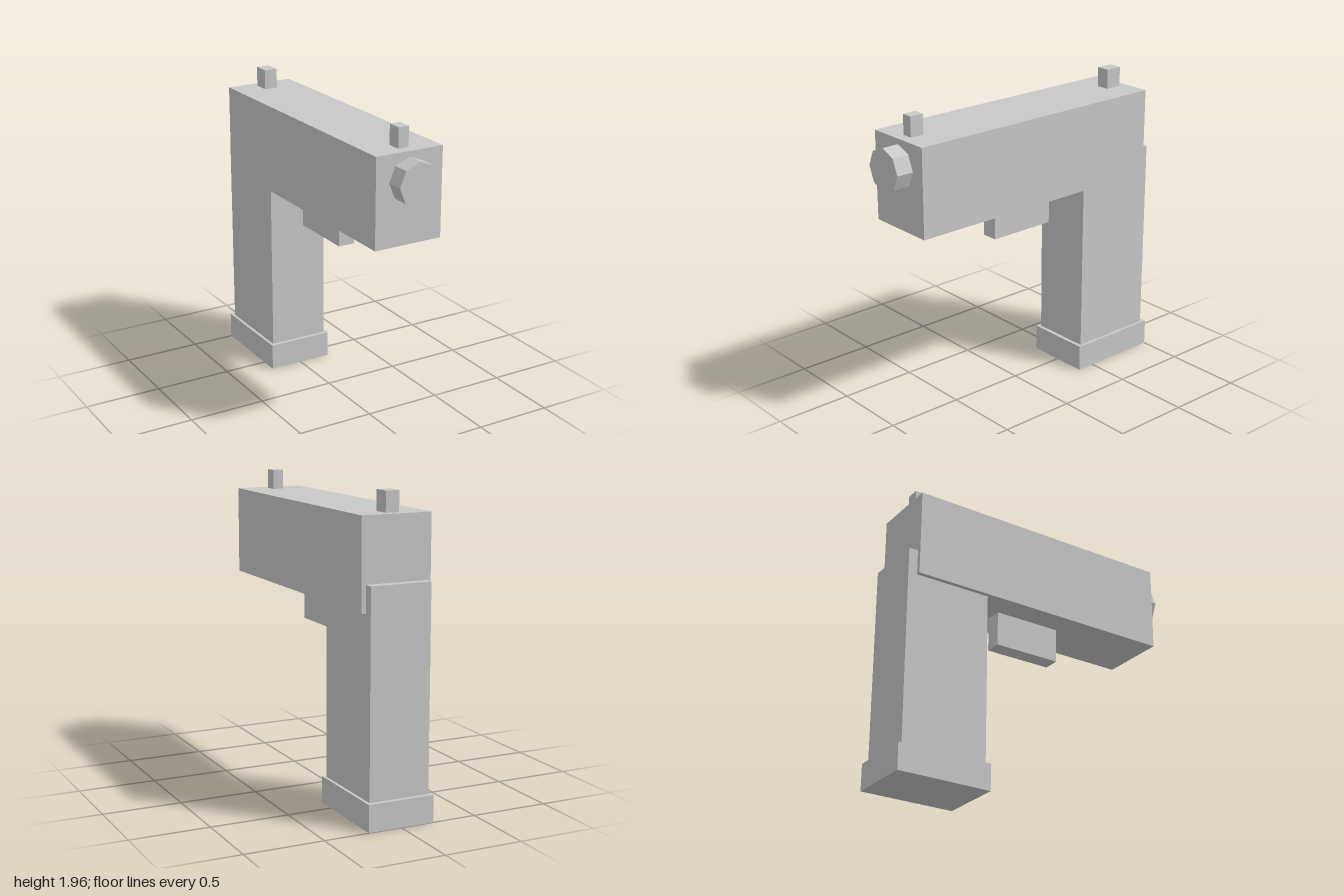
import * as THREE from 'three';

export function createModel() {
  const model = new THREE.Group();
  const grey = new THREE.MeshStandardMaterial({ color: 0xc8c8c8, flatShading: true });
  grey.name = 'light grey';

  const add = (name, geometry) => {
    const mesh = new THREE.Mesh(geometry, grey);
    mesh.name = name;
    model.add(mesh);
    return mesh;
  };

  // Box centred on x = 0, given by its width and its y and z limits
  const block = (name, width, y0, y1, z0, z1) =>
    add(name, new THREE.BoxGeometry(width, y1 - y0, z1 - z0))
      .position.set(0, (y0 + y1) / 2, (z0 + z1) / 2);

  block('upperBody', 0.45, 1.274, 1.834, -0.91, 0.89);
  block('grip', 0.392, 0.17, 1.44, -0.97, -0.405);
  block('gripBase', 0.43, 0, 0.17, -1, -0.38);
  block('triggerBlock', 0.108, 1.048, 1.274, -0.237, 0.213);
  block('frontSight', 0.07, 1.834, 1.96, 0.733, 0.823);
  block('rearSight', 0.087, 1.834, 1.96, -0.855, -0.745);

  // Octagonal nozzle with a corner at the top
  const nozzle = add('nozzle', new THREE.CylinderGeometry(0.136, 0.136, 0.13, 8));
  nozzle.rotation.x = Math.PI / 2;
  nozzle.position.set(0, 1.665, 0.935);

  return model;
}
